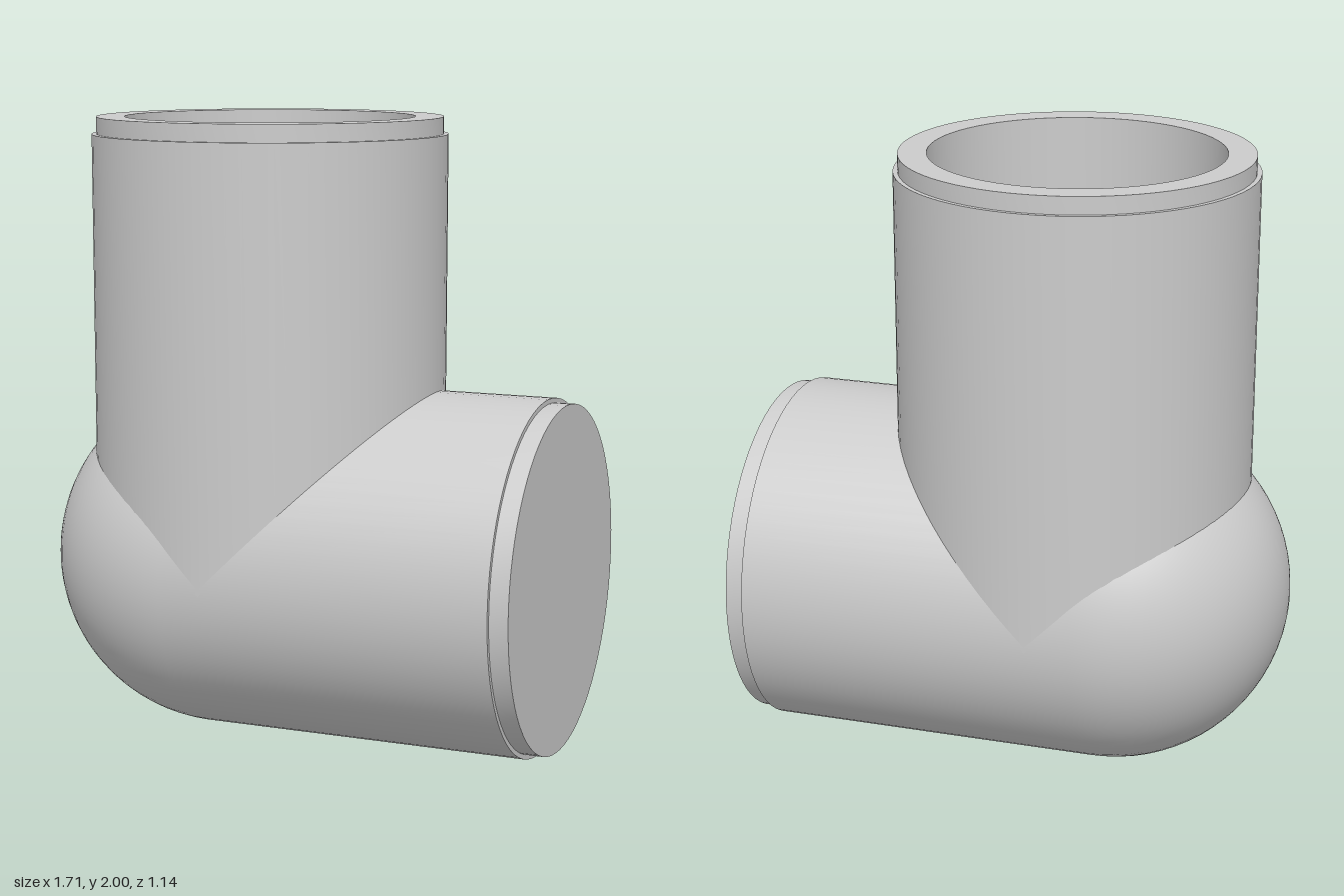
import * as THREE from 'three';
import { toCreasedNormals } from 'three/addons/utils/BufferGeometryUtils.js';

const R = 0.57;          // pipe radius
const COLLAR = 0.555;    // stepped end radius
const BORE = 0.465;      // socket radius
const PIPE_X = -0.145;   // upright pipe axis
const DOME_X = -0.285;   // centre of the rounded end
const SEGMENTS = 72;

const lathe = (points) =>
  new THREE.LatheGeometry(points.map(([r, y]) => new THREE.Vector2(r, y)), SEGMENTS);

function part(name, geometry) {
  const material = new THREE.MeshStandardMaterial({ color: 0xcccccc });
  const mesh = new THREE.Mesh(toCreasedNormals(geometry, 0.6), material);
  mesh.name = name;
  return mesh;
}

// Lying pipe: domed end, straight wall, stepped and closed end
function createLyingPipe() {
  const profile = [];
  const steps = 20;
  for (let i = 0; i <= steps; i++) {
    const a = (i / steps) * Math.PI / 2;
    profile.push([R * Math.sin(a), DOME_X - R * Math.cos(a)]);
  }
  profile.push([R, 0.795], [COLLAR, 0.795], [COLLAR, 0.855], [0, 0.855]);
  const geometry = lathe(profile);
  geometry.rotateZ(-Math.PI / 2);
  geometry.translate(0, R, 0);
  return part('lyingPipe', geometry);
}

// Upright pipe: stepped rim and blind socket, lower edge cut to the lying pipe
function createUprightPipe() {
  const geometry = lathe([
    [R, 0], [R, 1.945], [COLLAR, 1.945], [COLLAR, 2],
    [BORE, 2], [BORE, 1.15], [0, 1.15],
  ]);
  geometry.translate(PIPE_X, 0, 0);
  const pos = geometry.attributes.position;
  for (let i = 0; i < pos.count; i++) {
    if (pos.getY(i) > 0.01) continue;
    const dx = Math.min(0, pos.getX(i) - DOME_X);
    const z = pos.getZ(i);
    const height = Math.sqrt(Math.max(0, R * R - z * z - dx * dx));
    pos.setY(i, R + height - 0.02);
  }
  return part('uprightPipe', geometry);
}

export function createModel() {
  const group = new THREE.Group();
  group.name = 'pipeElbow';
  group.add(createLyingPipe(), createUprightPipe());
  return group;
}
